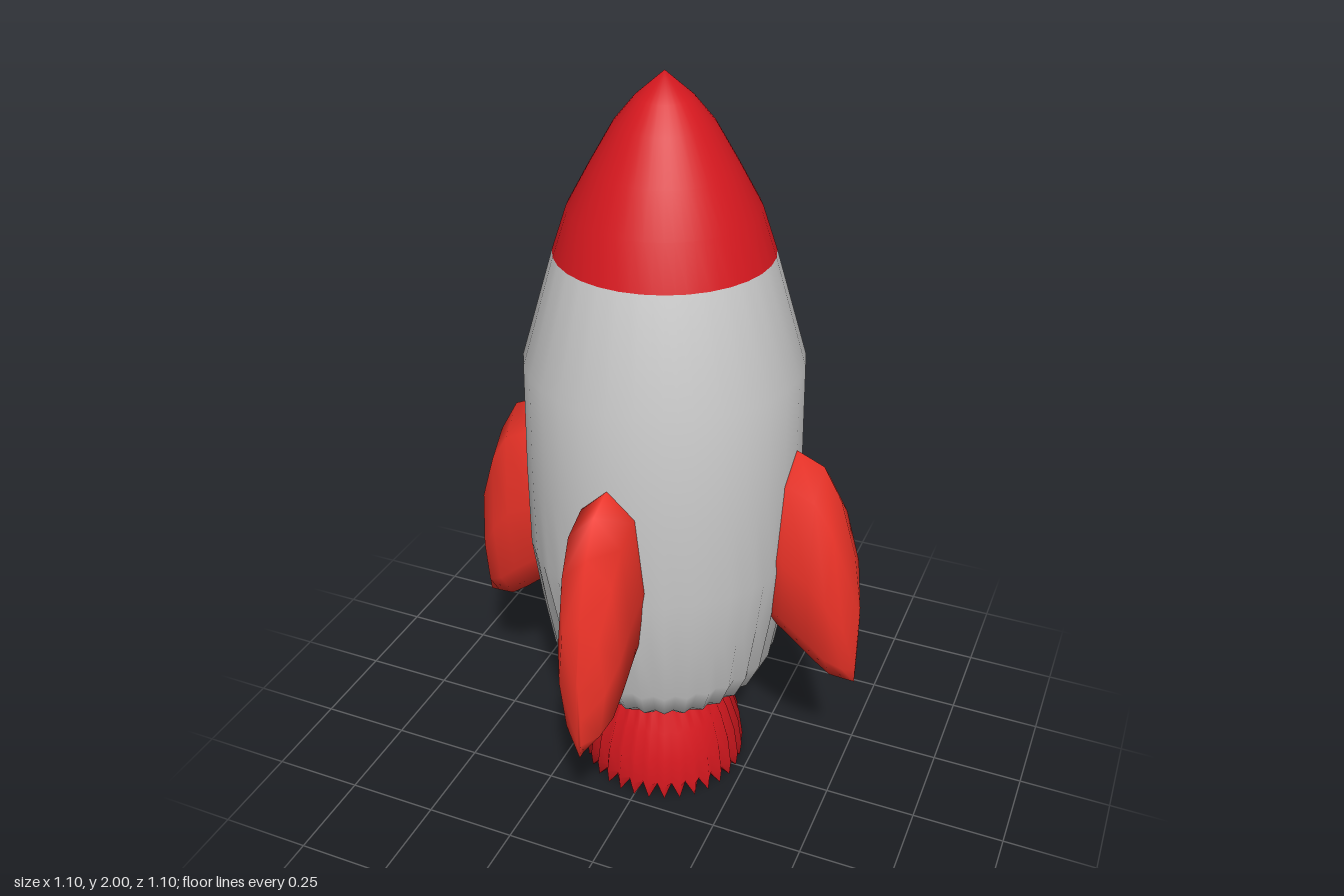
import * as THREE from 'three';
import { mergeVertices } from 'three/addons/utils/BufferGeometryUtils.js';

const PLEATS = 32;
const grey = new THREE.MeshStandardMaterial({ color: 0xcccccc });
const deepRed = new THREE.MeshStandardMaterial({ color: 0xd6181f, side: THREE.DoubleSide });
const brightRed = new THREE.MeshStandardMaterial({ color: 0xee3328 });

// Weld a geometry and give it smooth normals
function smooth(geo) {
  geo.deleteAttribute('uv');
  geo.deleteAttribute('normal');
  const welded = mergeVertices(geo, 1e-5);
  welded.computeVertexNormals();
  return welded;
}

// Revolved shell whose every second meridian is pulled in to form pleats.
// Rows: [radius, y, inset factor of the valleys, lift of the valleys]
function pleated(rows) {
  const geo = new THREE.LatheGeometry(rows.map(([r, y]) => new THREE.Vector2(r, y)), PLEATS * 2);
  const p = geo.attributes.position;
  for (let i = 0; i < p.count; i++) {
    const meridian = Math.floor(i / rows.length);
    const [, y, inset = 0.995, lift = 0] = rows[i % rows.length];
    if (meridian % 2) p.setXYZ(i, p.getX(i) * inset, y + lift, p.getZ(i) * inset);
  }
  return smooth(geo);
}

// Fin lofted outward along x from eight-sided upright sections
function finGeometry() {
  // [x, bottom, top, half thickness]
  const sections = [
    [0.28, 0.58, 1.09, 0.09], [0.36, 0.515, 1.09, 0.09], [0.43, 0.455, 1.06, 0.09],
    [0.48, 0.418, 0.97, 0.084], [0.525, 0.415, 0.82, 0.062], [0.55, 0.415, 0.66, 0.006],
  ];
  // [height fraction, thickness fraction] around a section
  const ring = [[1, 0], [0.88, 0.77], [0.5, 1], [0.17, 0.75], [0, 0], [0.17, -0.75], [0.5, -1], [0.88, -0.77]];
  const pos = [], idx = [], n = ring.length, last = (sections.length - 1) * n;
  for (const [x, lo, hi, w] of sections)
    for (const [h, t] of ring) pos.push(x, lo + (hi - lo) * h, w * t);
  for (let s = 0; s < sections.length - 1; s++)
    for (let j = 0; j < n; j++) {
      const a = s * n + j, b = s * n + (j + 1) % n;
      idx.push(a, b + n, b, a, a + n, b + n);
    }
  for (let j = 1; j < n - 1; j++) {
    idx.push(0, j, j + 1);
    idx.push(last, last + j + 1, last + j);
  }
  // Keep the winding outward
  const geo = new THREE.BufferGeometry();
  geo.setAttribute('position', new THREE.Float32BufferAttribute(pos, 3));
  const [A, B, C] = idx.slice(0, 3).map(i => new THREE.Vector3().fromArray(pos, i * 3));
  const normal = B.clone().sub(A).cross(C.clone().sub(A));
  if (normal.z < 0) for (let i = 0; i < idx.length; i += 3) [idx[i + 1], idx[i + 2]] = [idx[i + 2], idx[i + 1]];
  geo.setIndex(idx);
  geo.computeVertexNormals();
  return geo;
}

export function createModel() {
  const group = new THREE.Group();
  const add = (name, geo, material) => {
    const mesh = new THREE.Mesh(geo, material);
    mesh.name = name;
    group.add(mesh);
    return mesh;
  };

  // Hull, with pleats that deepen toward the base
  add('hull', pleated([
    [0, 0.265], [0.165, 0.265, 0.92], [0.27, 0.35, 0.94], [0.307, 0.43, 0.95],
    [0.335, 0.6, 0.965], [0.357, 0.77], [0.358, 1.0], [0.353, 1.29], [0.27, 1.57],
  ]), grey);

  // Nose cone
  add('noseCone', pleated([
    [0.27, 1.57], [0.233, 1.68], [0.178, 1.78], [0.12, 1.88], [0.07, 1.94], [0, 2],
  ]), deepRed);

  // Pleated skirt and closed underside of the engine
  add('engineSkirt', pleated([
    [0.225, 0, 0.9, 0.035], [0.229, 0.045, 0.92], [0.217, 0.13, 0.93], [0.193, 0.205, 0.93], [0.163, 0.27, 0.94],
  ]), deepRed);
  add('engineUnderside', pleated([
    [0, 0.04], [0.225, 0, 0.9, 0.035],
  ]), deepRed);

  // Four fins around the hull
  const fin = finGeometry();
  ['leftFin', 'backFin', 'rightFin', 'frontFin'].forEach((name, i) => {
    add(name, fin, brightRed).rotation.y = i * Math.PI / 2;
  });
  return group;
}
